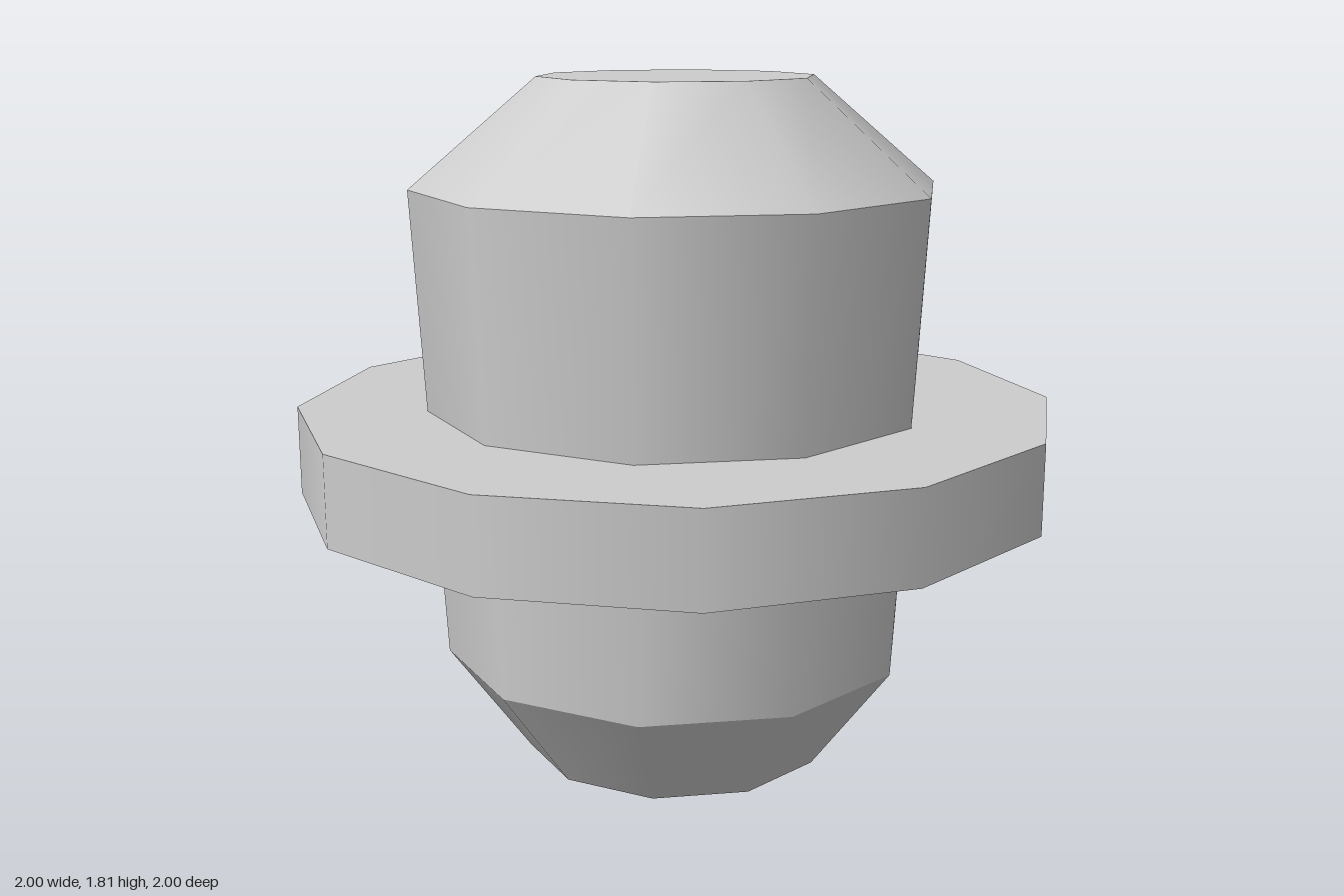
import * as THREE from 'three';

export function createModel() {
  const model = new THREE.Group();
  const grey = new THREE.MeshStandardMaterial({ color: 0xcccccc });
  grey.name = 'plain grey';

  function add(name, geometry, x, y, z) {
    const mesh = new THREE.Mesh(geometry, grey);
    mesh.name = name;
    mesh.position.set(x, y, z);
    model.add(mesh);
    return mesh;
  }

  // Ten-sided body: three stacked tapers with a sharp edge between each,
  // turned so that a corner points along x. Only the outer ends are capped.
  const profile = [[0.405, 0], [0.62, 0.29], [0.69, 1.53], [0.36, 1.81]];
  ['lowerTaper', 'bodyWall', 'upperTaper'].forEach((name, i) => {
    const [r0, y0] = profile[i];
    const [r1, y1] = profile[i + 1];
    const taper = new THREE.CylinderGeometry(r1, r0, y1 - y0, 10, 1, true);
    taper.rotateY(Math.PI / 2);
    add(name, taper, 0, (y0 + y1) / 2, 0);
  });
  const cap = (name, r, y, tilt) => {
    const disc = new THREE.CircleGeometry(r, 10);
    disc.rotateX(tilt);
    add(name, disc, 0, y, 0);
  };
  cap('topCap', 0.36, 1.81, -Math.PI / 2);
  cap('bottomCap', 0.405, 0, Math.PI / 2);

  // Wide twelve-sided collar around the middle
  add('collar', new THREE.CylinderGeometry(1, 1, 0.235, 12), 0, 0.8375, 0);

  // Eight-sided knob on the back, sunk into the body and collar
  const knob = new THREE.CylinderGeometry(0.218, 0.218, 0.235, 8);
  knob.rotateX(Math.PI / 2);
  add('backKnob', knob, 0, 1.092, -0.6675);

  // Pair of blocks under the collar at the back
  for (const side of [-1, 1]) {
    add(side < 0 ? 'rightBlock' : 'leftBlock',
      new THREE.BoxGeometry(0.175, 0.22, 0.33), side * 0.318, 0.64, -0.69);
  }

  return model;
}
